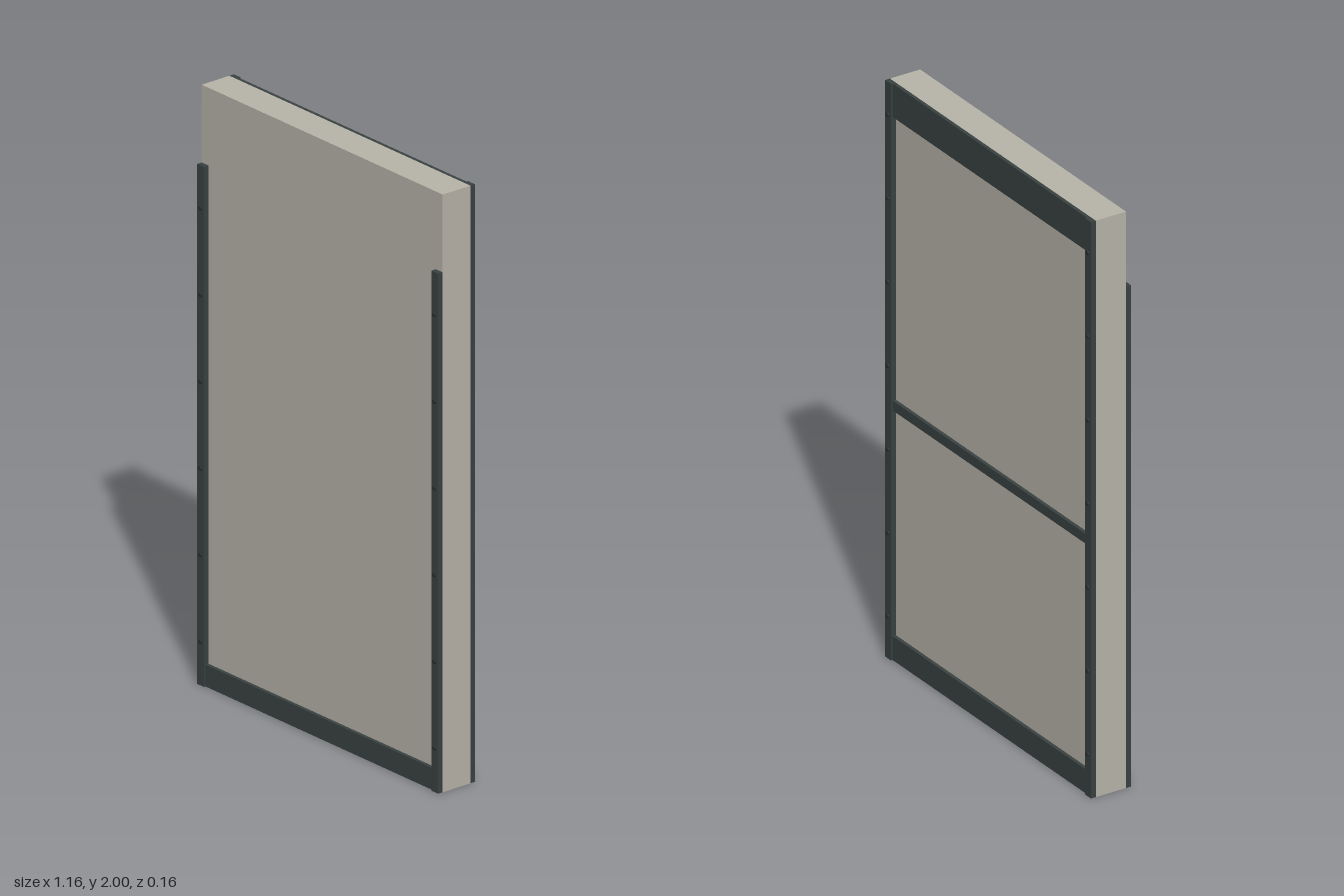
import * as THREE from 'three';

const W = 0.578, FACE = 0.056, RAIL = 0.012, POST = 0.018, POST_W = 0.033;

export function createModel() {
  const group = new THREE.Group();
  const panelMat = new THREE.MeshStandardMaterial({ name: 'warm grey panel', color: 0xb8b4aa });
  const frameMat = new THREE.MeshStandardMaterial({ name: 'dark slate frame', color: 0x3a4242 });
  const boltMat = new THREE.MeshStandardMaterial({ name: 'dark bolt', color: 0x2a2f30 });

  const box = (name, mat, x0, x1, y0, y1, z0, z1) => {
    const mesh = new THREE.Mesh(new THREE.BoxGeometry(x1 - x0, y1 - y0, z1 - z0), mat);
    mesh.position.set((x0 + x1) / 2, (y0 + y1) / 2, (z0 + z1) / 2);
    mesh.name = name;
    group.add(mesh);
  };

  // Slab
  box('panel', panelMat, -W, W, 0, 2, -FACE, FACE);

  // Horizontal rails between the posts
  const inner = W - POST_W;
  const rail = (name, side, y0, y1) => {
    const a = side * FACE, b = side * (FACE + RAIL);
    box(name, frameMat, -inner, inner, y0, y1, Math.min(a, b), Math.max(a, b));
  };
  rail('frontBottomRail', 1, 0, 0.073);
  rail('backBottomRail', -1, 0, 0.083);
  rail('backMiddleRail', -1, 0.866, 0.9);
  rail('backTopRail', -1, 1.884, 2);

  // Posts with evenly spaced bolts, mirrored left and right
  const boltGeo = new THREE.CylinderGeometry(0.007, 0.007, 0.005, 12).rotateX(Math.PI / 2);
  const posts = [
    { name: 'front', side: 1, height: 1.74, bolts: 6 },
    { name: 'back', side: -1, height: 2, bolts: 7 },
  ];
  for (const { name, side, height, bolts } of posts) {
    const a = side * FACE, b = side * (FACE + POST);
    for (const s of [-1, 1]) {
      const label = name + (s > 0 ? 'Left' : 'Right');
      const x0 = s > 0 ? inner : -W;
      box(label + 'Post', frameMat, x0, x0 + POST_W, 0, height, Math.min(a, b), Math.max(a, b));
      for (let i = 0; i < bolts; i++) {
        const bolt = new THREE.Mesh(boltGeo, boltMat);
        bolt.name = label + 'Bolt';
        bolt.position.set(s * (W - POST_W / 2), 0.147 + i * 0.29, side * (FACE + POST + 0.0025));
        group.add(bolt);
      }
    }
  }
  return group;
}
